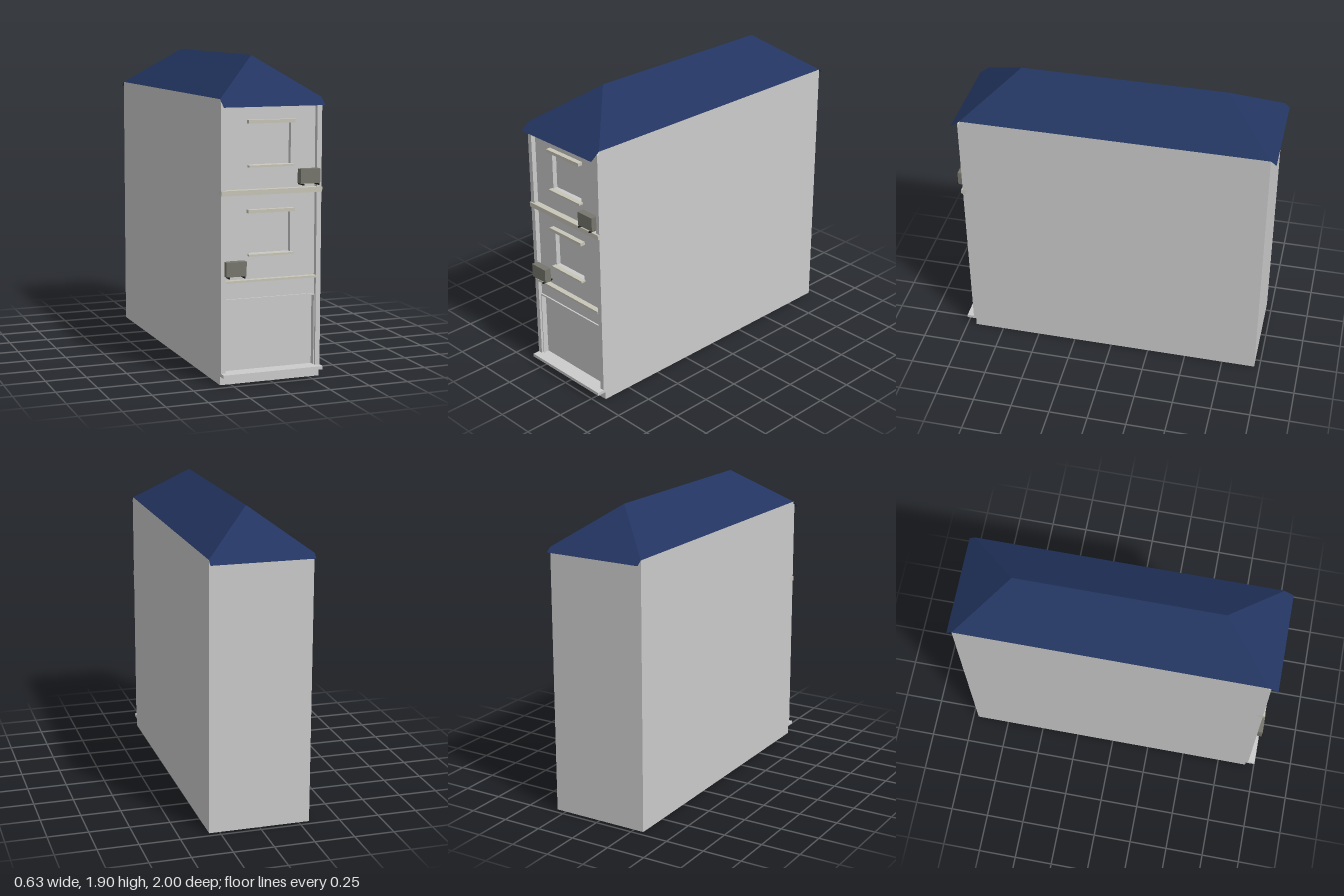
import * as THREE from 'three';

const material = (color) => new THREE.MeshStandardMaterial({ color, side: THREE.DoubleSide, flatShading: true });
const GREY = material(0xcccccc);
const TRIM = material(0xc8c6b8);
const ROOF = material(0x223460);
const UNIT = material(0x77776e);
const BLACK = material(0x1c1c1c);

const W = 0.315;     // half width
const BACK = -0.965;
const EAVE = 1.67;

export function createModel() {
  const house = new THREE.Group();
  house.name = 'townhouse';

  function add(name, geometry, mat, x = 0, y = 0, z = 0, parent = house) {
    const mesh = new THREE.Mesh(geometry, mat);
    mesh.name = name;
    mesh.position.set(x, y, z);
    parent.add(mesh);
    return mesh;
  }
  // Box given by its limits on each axis
  function block(name, x0, x1, y0, y1, z0, z1, mat = GREY, parent = house) {
    return add(name, new THREE.BoxGeometry(x1 - x0, y1 - y0, z1 - z0), mat,
      (x0 + x1) / 2, (y0 + y1) / 2, (z0 + z1) / 2, parent);
  }
  function rectPath(Type, x0, x1, y0, y1) {
    return new Type([[x0, y0], [x1, y0], [x1, y1], [x0, y1]].map(([x, y]) => new THREE.Vector2(x, y)));
  }

  // Shell: side walls and back wall, open underneath
  for (const s of [-1, 1]) {
    const side = add(s > 0 ? 'leftWall' : 'rightWall', new THREE.PlaneGeometry(0.94 - BACK, EAVE), GREY,
      s * W, EAVE / 2, (0.94 + BACK) / 2);
    side.rotation.y = s * Math.PI / 2;
    block(s > 0 ? 'leftPilaster' : 'rightPilaster',
      s > 0 ? 0.285 : -W, s > 0 ? W : -0.285, 0.07, 1.65, 0.91, 0.955);
  }
  add('backWall', new THREE.PlaneGeometry(2 * W, EAVE), GREY, 0, EAVE / 2, BACK).rotation.y = Math.PI;

  // Recessed front wall pierced by two windows
  const windows = [0.765, 1.285];
  const front = rectPath(THREE.Shape, -0.285, 0.285, 0.6, 1.65);
  for (const y of windows) front.holes.push(rectPath(THREE.Path, -0.13, 0.13, y, y + 0.245));
  add('frontWall', new THREE.ExtrudeGeometry(front, { depth: 0.035, bevelEnabled: false }), GREY, 0, 0, 0.89);

  // Windows with pane, lintel and sill
  for (const y of windows) {
    const group = new THREE.Group();
    group.name = 'window';
    house.add(group);
    add('pane', new THREE.PlaneGeometry(0.26, 0.245), GREY, 0, y + 0.1225, 0.895, group);
    block('lintel', -0.145, 0.145, y + 0.242, y + 0.262, 0.92, 0.957, TRIM, group);
    block('sill', -0.14, 0.14, y - 0.012, y, 0.92, 0.955, TRIM, group);
  }

  // Floor bands
  block('upperCornice', -W, W, 1.115, 1.145, 0.92, 0.967, TRIM);
  block('lowerCornice', -0.285, 0.285, 0.604, 0.617, 0.92, 0.96, TRIM);

  // Ground floor shop front
  block('shopFascia', -0.285, 0.285, 0.505, 0.605, 0.89, 0.93);
  block('shutterRail', -0.28, 0.28, 0.495, 0.505, 0.89, 0.94);
  add('shopPanel', new THREE.PlaneGeometry(0.57, 0.45), GREY, 0, 0.285, 0.905);
  for (const s of [-1, 1]) block('shopJamb', s * 0.2825 - 0.0025, s * 0.2825 + 0.0025, 0.07, 0.5, 0.9, 0.94);
  add('basePlinth', new THREE.PlaneGeometry(2 * W, 0.06), GREY, 0, 0.03, 0.94);
  block('doorStep', -W, W, 0.052, 0.072, 0.9, 1);

  // Outdoor cooling units on thin brackets
  for (const [x, y] of [[0.229, 1.17], [-0.231, 0.647]]) {
    const group = new THREE.Group();
    group.name = 'coolingUnit';
    house.add(group);
    block('casing', x - 0.062, x + 0.062, y, y + 0.086, 0.945, 0.99, UNIT, group);
    for (const s of [-1, 1]) {
      const bx = x + s * 0.048;
      block('bracket', bx - 0.004, bx + 0.004, y - 0.009, y, 0.92, 1, BLACK, group);
    }
  }

  // Hipped roof whose end slopes run past the walls
  const slope = 0.235 / 0.315;
  const ridge = 1.905;
  const f = 0.625, b = -0.65;
  const eaveF = f + W, eaveB = b - W;
  const yF = EAVE - (1 - eaveF) * slope, yB = EAVE - (eaveB + 1) * slope;
  const F = [0, ridge, f], B = [0, ridge, b];
  const FL = [W, EAVE, eaveF], FR = [-W, EAVE, eaveF];
  const BL = [W, EAVE, eaveB], BR = [-W, EAVE, eaveB];
  const tipFL = [W, yF, 1], tipFR = [-W, yF, 1];
  const tipBL = [W, yB, -1], tipBR = [-W, yB, -1];
  const quad = (p, q, r, s) => [p, q, r, p, r, s];
  const corners = [
    ...quad(FL, BL, B, F), ...quad(BR, FR, F, B),
    FR, FL, F, ...quad(tipFR, tipFL, FL, FR),
    BL, BR, B, ...quad(tipBL, tipBR, BR, BL),
  ];
  const roof = new THREE.BufferGeometry();
  roof.setAttribute('position', new THREE.Float32BufferAttribute(corners.flat(), 3));
  roof.computeVertexNormals();
  add('hippedRoof', roof, ROOF);

  return house;
}
